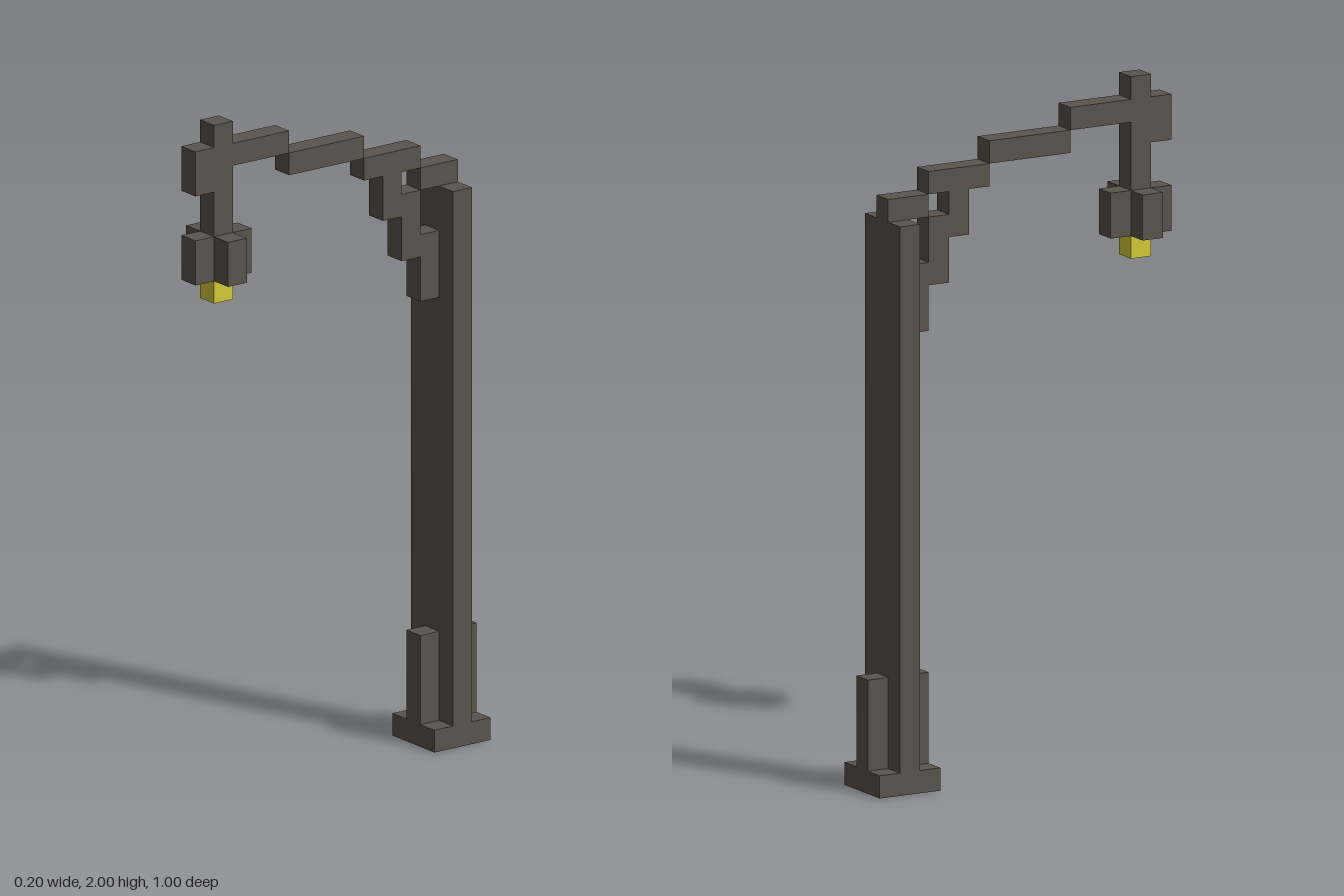
import * as THREE from 'three';

// One block edge; the lamp post is 30 blocks tall.
const U = 1 / 15;

export function createModel() {
  const model = new THREE.Group();
  model.name = 'streetLamp';
  const iron = new THREE.MeshStandardMaterial({ color: 0x5a544d });
  iron.name = 'dark iron';
  const glow = new THREE.MeshStandardMaterial({ color: 0xd6cc38 });
  glow.name = 'yellow glow';

  // Box centred at x, spanning y0..y1 and z0..z1, all in blocks.
  function block(parent, name, width, y0, y1, z0, z1, material = iron, x = 0) {
    const geometry = new THREE.BoxGeometry(width * U, (y1 - y0) * U, (z1 - z0) * U);
    const mesh = new THREE.Mesh(geometry, material);
    mesh.name = name;
    mesh.position.set(x * U, (y0 + y1) / 2 * U, (z0 + z1) / 2 * U);
    parent.add(mesh);
  }

  function group(name) {
    const g = new THREE.Group();
    g.name = name;
    model.add(g);
    return g;
  }

  // Post with its foot and two ribs
  const post = group('post');
  block(post, 'foot', 3, 0, 1, -7.5, -4.5);
  block(post, 'column', 3, 1, 25, -6.5, -5.5);
  block(post, 'backRib', 1, 1, 5, -7.5, -6.5);
  block(post, 'frontRib', 1, 1, 5, -5.5, -4.5);

  // Stepped brace under the arm
  const brace = group('brace');
  block(brace, 'lowerBrace', 1, 20, 23, -5.5, -4.5);
  block(brace, 'middleBrace', 1, 22, 25, -4.5, -3.5);
  block(brace, 'upperBrace', 1, 24, 26, -3.5, -2.5);

  // Arm climbing forward one block per step
  const arm = group('arm');
  [[-6.5, -4.5], [-4.5, -1.5], [-1.5, 2.5], [2.5, 5.5]].forEach(([z0, z1], i) =>
    block(arm, 'armStep' + (i + 1), 1, 25 + i, 26 + i, z0, z1));
  block(arm, 'armTip', 1, 27, 29, 6.5, 7.5);

  // Hanging lantern with a cross-shaped shade
  const lantern = group('lantern');
  block(lantern, 'hanger', 1, 23, 30, 5.5, 6.5);
  block(lantern, 'shadeBack', 1, 23, 25, 4.5, 5.5);
  block(lantern, 'shadeFront', 1, 23, 25, 6.5, 7.5);
  block(lantern, 'shadeLeft', 1, 23, 25, 5.5, 6.5, iron, 1);
  block(lantern, 'shadeRight', 1, 23, 25, 5.5, 6.5, iron, -1);
  block(lantern, 'bulb', 1, 22, 23, 5.5, 6.5, glow);

  return model;
}
